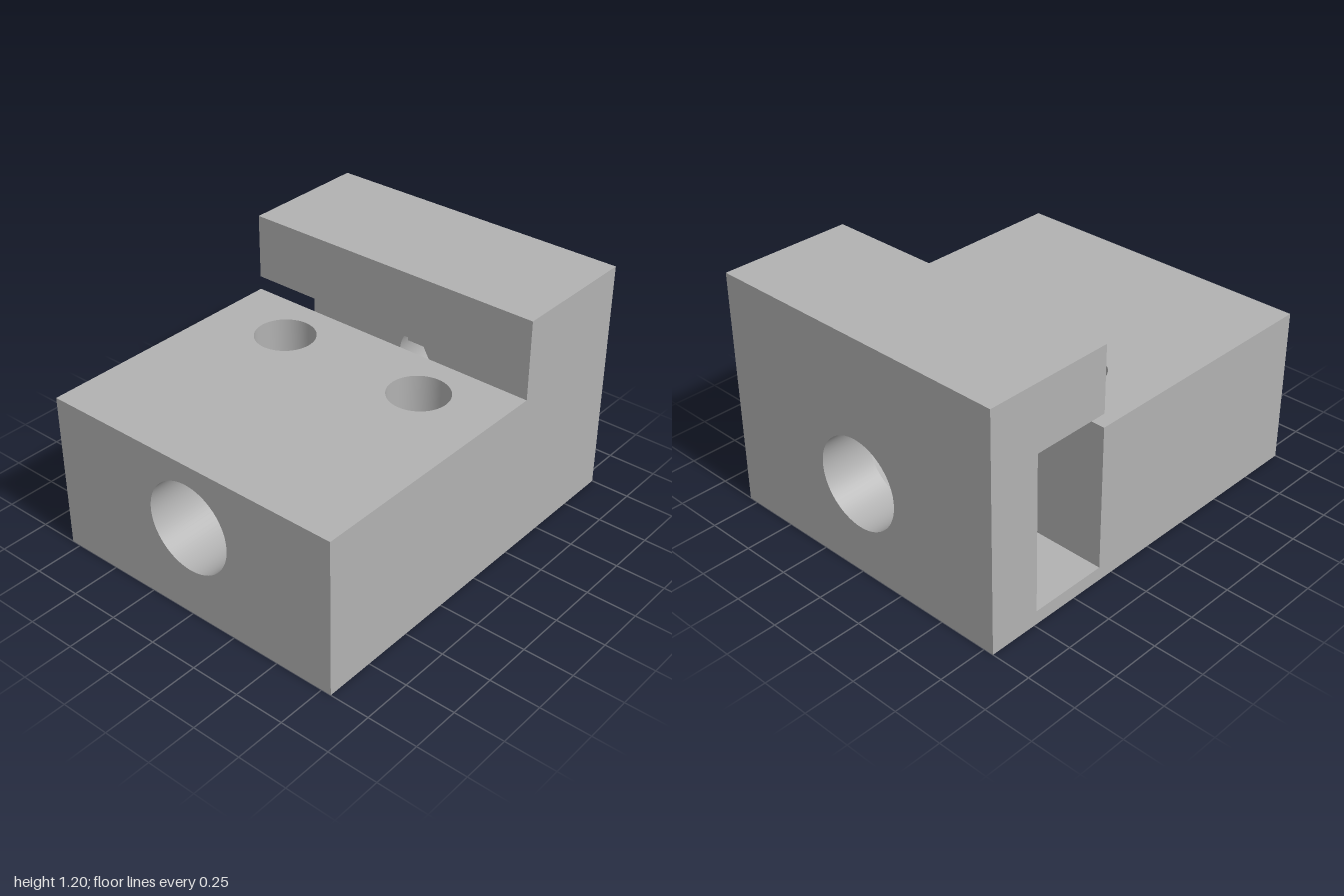
import * as THREE from 'three';

const STEP = -0.333, SLOT = -0.736; // z of the step wall and of the slot's rear wall
const H = 0.8, TOP = 1.2, W = 0.8;
const BORE = { x: 0, y: 0.47, r: 0.228 };
const BOLTS = [-0.4, 0.4], BOLT_Z = -0.07, BOLT_R = 0.149;

// Slot with a hexagonal nut seat at its end, counter-clockwise from its open side
const POCKET = [
  [-W, 0.07], [0.13, 0.07], [0.13, 0.085], [0.222, 0.085], [0.4446, 0.47],
  [0.222, 0.855], [0.13, 0.855], [0.13, 0.87], [-W, 0.87],
];

const rect = (x0, y0, x1, y1) => [[x0, y0], [x1, y0], [x1, y1], [x0, y1]];

// Flat face from an outline with round holes, facing +z until turned
function face(points, holes = []) {
  const shape = new THREE.Shape(points.map(([x, y]) => new THREE.Vector2(x, y)));
  for (const { x, y, r } of holes) {
    shape.holes.push(new THREE.Path().absarc(x, y, r, 0, Math.PI * 2, true));
  }
  return new THREE.ShapeGeometry(shape, 32);
}

// Inward-facing wall of a round hole along y
function holeWall(r, y0, y1) {
  return new THREE.LatheGeometry([new THREE.Vector2(r, y1), new THREE.Vector2(r, y0)], 64);
}

// Inward-facing walls along the pocket outline, left open on the side
function pocketWalls() {
  const pos = [];
  for (let i = 0; i < POCKET.length - 1; i++) {
    const [a, b] = [POCKET[i], POCKET[i + 1]];
    const q = [[...a, SLOT], [...a, STEP], [...b, STEP], [...b, SLOT]];
    for (const k of [0, 1, 2, 0, 2, 3]) pos.push(...q[k]);
  }
  const g = new THREE.BufferGeometry();
  g.setAttribute('position', new THREE.Float32BufferAttribute(pos, 3));
  g.computeVertexNormals();
  return g;
}

export function createModel() {
  const group = new THREE.Group();
  group.name = 'nutBlock';
  const grey = new THREE.MeshStandardMaterial({ color: 0xb2b2b2 });
  grey.name = 'grey';
  const add = (name, geometry) => {
    const mesh = new THREE.Mesh(geometry, grey);
    mesh.name = name;
    group.add(mesh);
  };
  const quarter = Math.PI / 2;

  // Front, back and step walls
  add('frontFace', face(rect(-W, 0, W, H), [BORE]).translate(0, 0, 1));
  add('backFace', face(rect(-W, 0, W, TOP), [BORE]).rotateY(Math.PI).translate(0, 0, -1));
  add('stepWall', face([
    [-W, TOP], [-W, 0.87], [0.13, 0.87], [0.13, 0.855], [0.222, 0.855], [0.254, H], [W, H], [W, TOP],
  ]).translate(0, 0, STEP));

  // Sides: the -x side is cut by the slot
  add('closedSide', face([[-1, 0], [1, 0], [1, TOP], [-STEP, TOP], [-STEP, H], [-1, H]])
    .rotateY(quarter).translate(W, 0, 0));
  add('slottedSide', face([
    [1, 0], [1, H], [STEP, H], [STEP, 0.07], [SLOT, 0.07], [SLOT, 0.87],
    [STEP, 0.87], [STEP, TOP], [-1, TOP], [-1, 0],
  ]).rotateY(-quarter).translate(-W, 0, 0));

  // Tops and underside
  const bolts = (sign) => BOLTS.map((x) => ({ x, y: sign * BOLT_Z, r: BOLT_R }));
  add('upperTop', face(rect(-W, -STEP, W, 1)).rotateX(-quarter).translate(0, TOP, 0));
  add('lowerTop', face(rect(-W, -1, W, -STEP), bolts(-1)).rotateX(-quarter).translate(0, H, 0));
  add('underside', face(rect(-W, -1, W, 1), bolts(1)).rotateX(quarter));

  // Nut pocket: rear wall, front wall up to the lower top, and rim
  add('pocketRear', face(POCKET, [BORE]).translate(0, 0, SLOT));
  const below = [...POCKET.slice(0, 5), [0.254, H], [-W, H]].map(([x, y]) => [-x, y]);
  add('pocketFront', face(below, [BORE]).rotateY(Math.PI).translate(0, 0, STEP));
  add('pocketRim', pocketWalls());

  // Bore on both sides of the pocket, and the two vertical bolt holes
  for (const [name, z0, z1] of [['frontBore', STEP, 1], ['rearBore', -1, SLOT]]) {
    add(name, holeWall(BORE.r, z0, z1).rotateX(quarter).translate(BORE.x, BORE.y, 0));
  }
  for (const x of BOLTS) add('boltHole', holeWall(BOLT_R, 0, H).translate(x, 0, BOLT_Z));

  return group;
}
